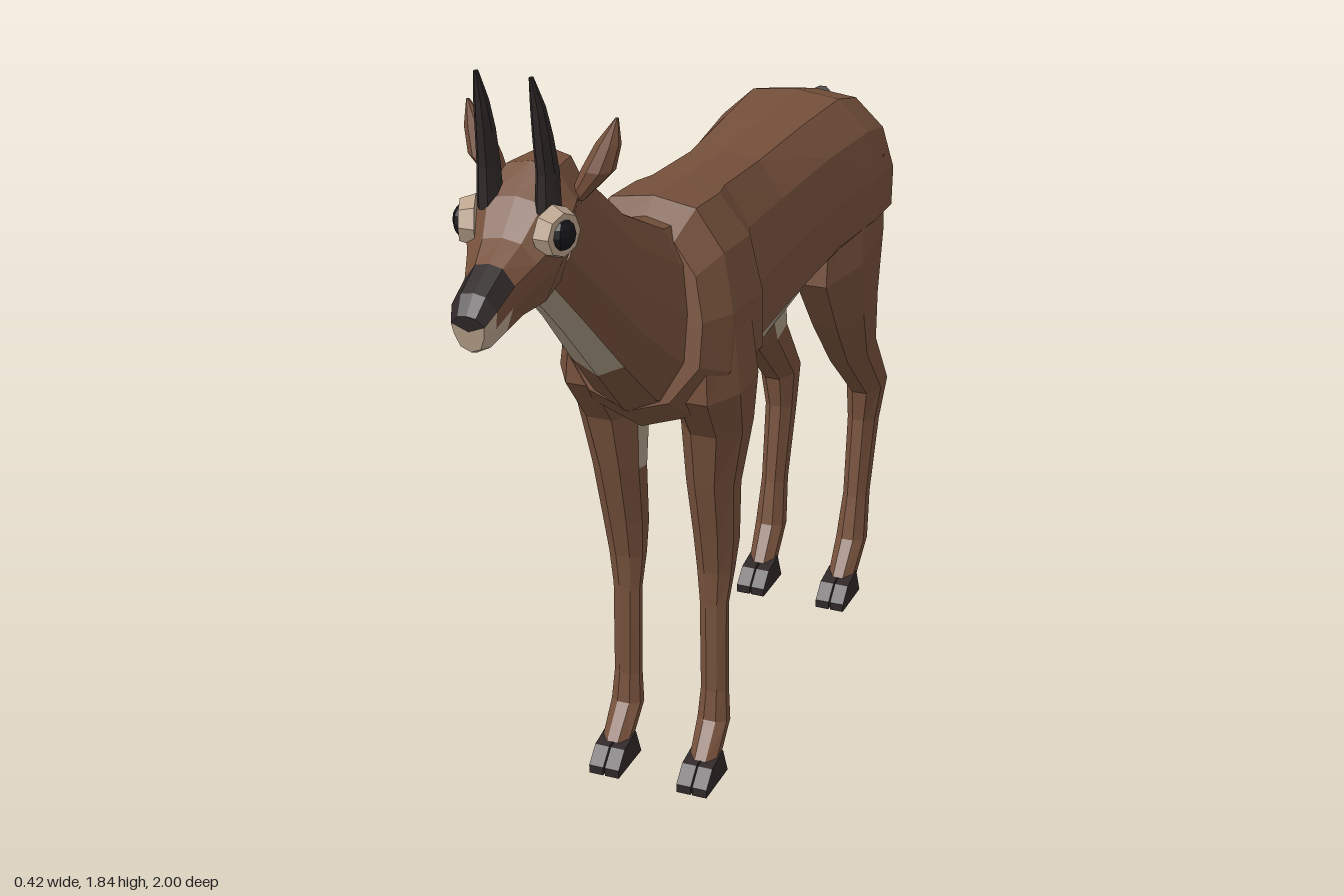
import * as THREE from 'three';

const flat = (name, color) => {
  const m = new THREE.MeshStandardMaterial({ color, flatShading: true });
  m.name = name;
  return m;
};

// Cross-section outlines, half only: [width fraction, height fraction], top to bottom
const TRUNK = [[0, 1], [0.5, 0.97], [0.85, 0.8], [1, 0.55], [1, 0.3], [0.6, 0.08], [0, 0]];
const SKULL = [[0, 1], [0.55, 0.96], [1, 0.75], [0.9, 0.45], [0.6, 0.12], [0, 0]];

// Upright ring from a top point, a bottom point and a half width
function slice(half, [topZ, topY, botZ, botY, w]) {
  const outline = [...half, ...half.slice(1, -1).reverse().map(([x, t]) => [-x, t])];
  return outline.map(([x, t]) => new THREE.Vector3(
    x * w, THREE.MathUtils.lerp(botY, topY, t), THREE.MathUtils.lerp(botZ, topZ, t)));
}

// Eight-sided ring lying across a limb, from its front and back points and x range
function limbRing([frontZ, frontY, backZ, backY, x0, x1], side) {
  return Array.from({ length: 8 }, (_, k) => {
    const a = (k + 0.5) * Math.PI / 4, r = 0.5 / Math.cos(Math.PI / 8);
    const t = 0.5 + Math.sin(a) * r;
    return new THREE.Vector3(
      side * ((x0 + x1) / 2 + Math.cos(a) * r * (x1 - x0)),
      THREE.MathUtils.lerp(backY, frontY, t), THREE.MathUtils.lerp(backZ, frontZ, t));
  });
}

// Skin rings into a closed mesh; pick(segment, band) gives a material index
function loft(name, rings, materials, pick = () => 0) {
  const buckets = materials.map(() => []);
  let volume = 0;
  const tri = (m, a, b, c) => {
    buckets[m].push([a, b, c]);
    volume += a.dot(new THREE.Vector3().crossVectors(b, c));
  };
  const n = rings[0].length, last = rings.length - 1;
  const centre = (ring) => ring.reduce((s, p) => s.add(p), new THREE.Vector3()).divideScalar(n);
  const start = centre(rings[0]), end = centre(rings[last]);
  for (let j = 0; j < n; j++) {
    const k = (j + 1) % n;
    tri(pick(0, j), start, rings[0][k], rings[0][j]);
    for (let i = 0; i < last; i++) {
      const m = pick(i, j);
      tri(m, rings[i][j], rings[i][k], rings[i + 1][k]);
      tri(m, rings[i][j], rings[i + 1][k], rings[i + 1][j]);
    }
    tri(pick(last - 1, j), end, rings[last][j], rings[last][k]);
  }
  // Mirrored parts come out inside out, so turn their corners round
  const points = [], geometry = new THREE.BufferGeometry();
  buckets.forEach((list, m) => {
    geometry.addGroup(points.length, list.length * 3, m);
    list.forEach(([a, b, c]) => points.push(...(volume < 0 ? [a, c, b] : [a, b, c])));
  });
  geometry.setFromPoints(points);
  geometry.computeVertexNormals();
  const mesh = new THREE.Mesh(geometry, materials);
  mesh.name = name;
  return mesh;
}

export function createModel() {
  const coat = flat('brown coat', 0x75503b);
  const pale = flat('pale underside', 0xaa9a85);
  const dark = flat('dark horn and hoof', 0x302828);
  const lip = flat('pale muzzle', 0xb9a28c);
  const eyeBlack = flat('eye black', 0x17171b);
  const model = new THREE.Group();
  model.name = 'antelope';

  // Trunk, chest to rump
  const trunk = [
    [0.22, 1.33, 0.29, 0.96, 0.15], [0.15, 1.385, 0.22, 0.895, 0.19],
    [0.02, 1.375, 0, 0.875, 0.19], [-0.04, 1.37, -0.03, 0.875, 0.165],
    [-0.25, 1.355, -0.25, 0.89, 0.16], [-0.5, 1.36, -0.5, 0.94, 0.185],
    [-0.7, 1.36, -0.68, 0.95, 0.21], [-0.84, 1.32, -0.82, 0.95, 0.2],
    [-0.885, 1.25, -0.86, 1.0, 0.16],
  ].map((s) => slice(TRUNK, s));
  model.add(loft('trunk', trunk, [coat, pale], (i, j) => {
    const underside = j === 5 || j === 6, flank = j === 4 || j === 7;
    return (underside && i >= 1) || (flank && i >= 2 && i <= 4) ? 1 : 0;
  }));

  // Neck with a pale throat
  const neck = [
    [0.64, 1.635, 0.74, 1.39, 0.07], [0.52, 1.54, 0.6, 1.26, 0.076],
    [0.41, 1.45, 0.44, 1.1, 0.095], [0.23, 1.36, 0.31, 0.97, 0.115],
    [0.1, 1.34, 0.2, 0.91, 0.12],
  ].map((s) => slice(TRUNK, s));
  model.add(loft('neck', neck, [coat, pale], (i, j) => (i < 2 && (j === 5 || j === 6) ? 1 : 0)));

  // Head with dark nose and pale lips
  const head = [
    [1.0, 1.445, 0.985, 1.37, 0.033], [0.97, 1.478, 0.96, 1.36, 0.045],
    [0.905, 1.51, 0.9, 1.365, 0.05], [0.85, 1.54, 0.86, 1.38, 0.07],
    [0.79, 1.6, 0.8, 1.38, 0.1], [0.72, 1.645, 0.72, 1.385, 0.09],
    [0.63, 1.64, 0.67, 1.42, 0.07],
  ].map((s) => slice(SKULL, s));
  model.add(loft('head', head, [coat, dark, lip], (i, j) => {
    const band = Math.min(j, 9 - j);
    if (i > 1) return 0;
    return band < 2 ? 1 : band > 2 || i === 0 ? 2 : 0;
  }));

  // Tail
  const tail = [
    [-0.86, 1.29, -0.89, 1.31, -0.02, 0.02], [-0.875, 1.2, -0.945, 1.22, -0.045, 0.045],
    [-0.885, 1.08, -0.98, 1.06, -0.052, 0.052], [-0.9, 0.98, -0.965, 0.97, -0.03, 0.03],
    [-0.92, 0.93, -0.925, 0.93, -0.008, 0.008],
  ].map((s) => limbRing(s, 1));
  model.add(loft('tail', tail, [dark]));

  // Paired parts: [front z, front y, back z, back y, inner x, outer x]
  const frontLeg = [
    [0.24, 1.12, 0.01, 1.12, 0.06, 0.19], [0.25, 0.98, 0, 1.0, 0.05, 0.205],
    [0.17, 0.87, 0.01, 0.88, 0.05, 0.19], [0.14, 0.74, 0.03, 0.72, 0.055, 0.165],
    [0.105, 0.6, 0.015, 0.57, 0.06, 0.155], [0.085, 0.5, 0.025, 0.5, 0.065, 0.145],
    [0.08, 0.42, 0.04, 0.42, 0.072, 0.135], [0.08, 0.2, 0.035, 0.2, 0.075, 0.135],
    [0.09, 0.13, 0.035, 0.12, 0.07, 0.14], [0.15, 0.06, 0.095, 0.04, 0.075, 0.138],
  ];
  const hindLeg = [
    [-0.54, 1.2, -0.87, 1.2, 0.03, 0.195], [-0.5, 0.96, -0.86, 1.05, 0.03, 0.205],
    [-0.6, 0.82, -0.845, 0.87, 0.045, 0.19], [-0.72, 0.68, -0.88, 0.72, 0.06, 0.17],
    [-0.885, 0.53, -1.0, 0.555, 0.07, 0.16], [-0.895, 0.45, -0.98, 0.43, 0.075, 0.145],
    [-0.865, 0.25, -0.935, 0.25, 0.08, 0.14], [-0.84, 0.14, -0.91, 0.13, 0.073, 0.145],
    [-0.78, 0.06, -0.84, 0.035, 0.075, 0.138],
  ];
  const ear = [
    [0.7, 1.57, 0.665, 1.57, 0.06, 0.09], [0.705, 1.63, 0.65, 1.63, 0.085, 0.145],
    [0.69, 1.68, 0.655, 1.68, 0.11, 0.156], [0.675, 1.73, 0.668, 1.73, 0.147, 0.153],
  ];
  const horn = [
    [0.805, 1.57, 0.745, 1.57, 0.036, 0.08], [0.802, 1.65, 0.75, 1.65, 0.04, 0.078],
    [0.81, 1.72, 0.768, 1.72, 0.04, 0.074], [0.818, 1.78, 0.79, 1.78, 0.043, 0.069],
    [0.83, 1.84, 0.82, 1.84, 0.05, 0.058],
  ];

  // One toe of a cloven hoof, side outline pushed out sideways
  const toe = new THREE.ExtrudeGeometry(new THREE.Shape([
    [0, 0], [0.13, 0], [0.13, 0.02], [0.095, 0.055], [0.03, 0.068],
  ].map(([x, y]) => new THREE.Vector2(x, y))), { depth: 0.034, bevelEnabled: false });
  toe.translate(0, 0, -0.017).rotateY(-Math.PI / 2);

  for (const side of [1, -1]) {
    const word = side > 0 ? 'left' : 'right';
    const pair = (name, rings, mats, pick) =>
      model.add(loft(word + name, rings.map((r) => limbRing(r, side)), mats, pick));
    pair('FrontLeg', frontLeg, [coat, pale], (i, j) => (j === 3 && i < 3 ? 1 : 0));
    pair('HindLeg', hindLeg, [coat, pale], (i, j) => ((j === 3 || j === 4) && i < 3 ? 1 : 0));
    pair('Ear', ear, [coat]);
    pair('Horn', horn, [dark]);

    for (const [name, z] of [['FrontHoof', 0.07], ['HindHoof', -0.85]]) {
      const hoof = new THREE.Group();
      hoof.name = word + name;
      for (const dx of [-0.019, 0.019]) {
        const mesh = new THREE.Mesh(toe, dark);
        mesh.name = 'toe';
        mesh.position.set(side * 0.106 + dx, 0, z);
        hoof.add(mesh);
      }
      model.add(hoof);
    }

    // Eye: pale rim with a dark ball, turned slightly forward
    const eye = new THREE.Group();
    eye.name = word + 'Eye';
    const rim = new THREE.Mesh(new THREE.CylinderGeometry(0.042, 0.052, 0.03, 8), lip);
    rim.name = 'eyeRim';
    rim.rotation.z = -Math.PI / 2;
    const ball = new THREE.Mesh(new THREE.SphereGeometry(0.03, 8, 6), eyeBlack);
    ball.name = 'eyeball';
    ball.scale.x = 0.6;
    ball.position.x = 0.012;
    eye.add(rim, ball);
    eye.position.set(side * 0.09, 1.545, 0.802);
    eye.rotation.y = side > 0 ? -0.35 : Math.PI + 0.35;
    model.add(eye);
  }
  return model;
}
